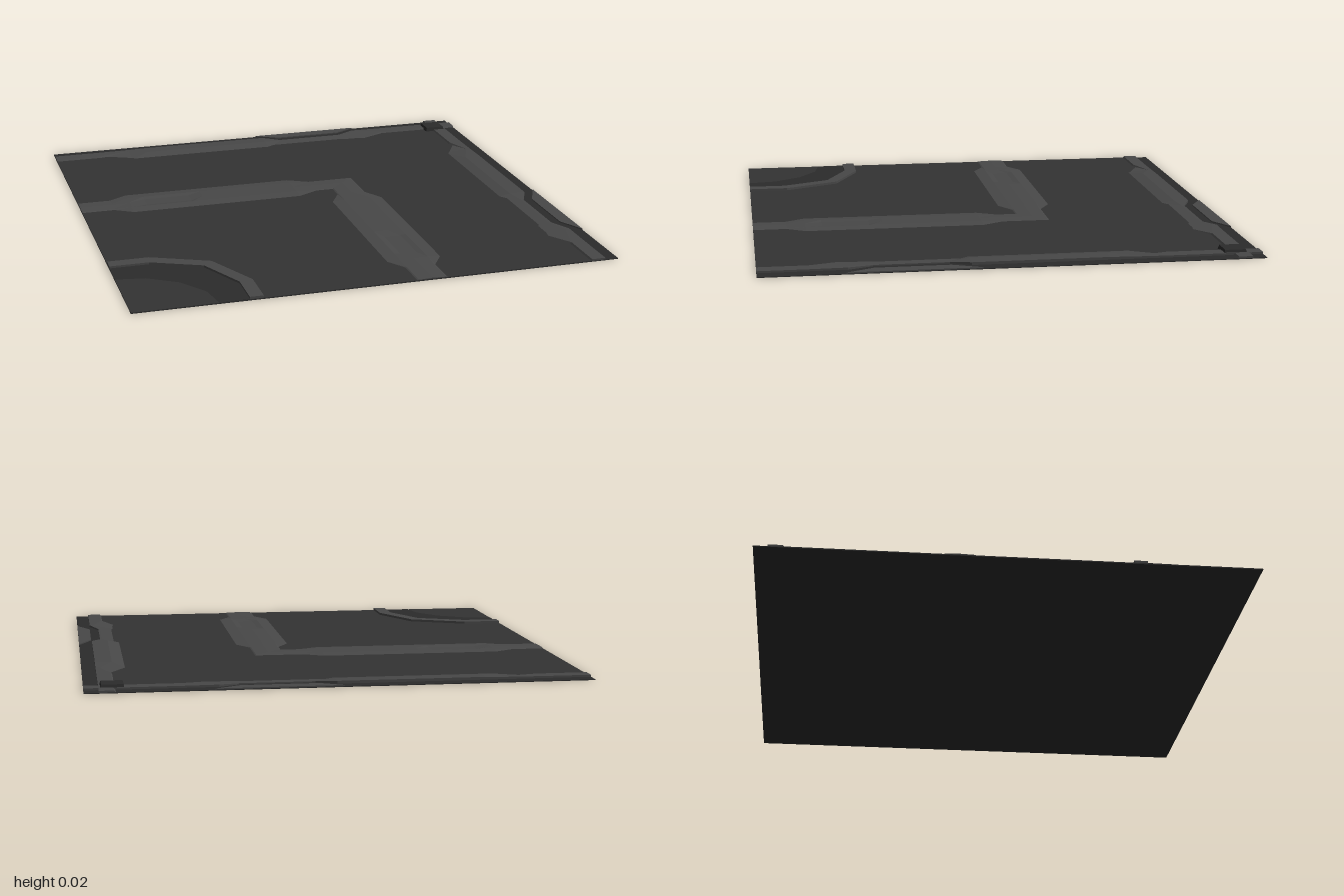
import * as THREE from 'three';

const RECESS = 0.003, FLOOR = 0.005;
const mat = (color) => new THREE.MeshStandardMaterial({ color, flatShading: true, side: THREE.DoubleSide });

// Skin rows of [x, y, z] points with quads; both ends are closed down to the base height
function loft(rows, base) {
  const flat = (r) => r.map(([x, , z]) => [x, base, z]);
  const all = [flat(rows[0]), ...rows, flat(rows[rows.length - 1])];
  const n = rows[0].length, index = [];
  for (let i = 0; i < all.length - 1; i++) {
    for (let j = 0; j < n - 1; j++) {
      const a = i * n + j, c = a + n;
      index.push(a, a + 1, c, a + 1, c + 1, c);
    }
  }
  const g = new THREE.BufferGeometry();
  g.setAttribute('position', new THREE.Float32BufferAttribute(all.flat(2), 3));
  g.setIndex(index);
  const out = g.toNonIndexed();
  out.computeVertexNormals();
  return out;
}

// Flat plate from [x, z] corners between two heights
function plate(points, y0, y1) {
  const shape = new THREE.Shape(points.map(([x, z]) => new THREE.Vector2(x, -z)));
  return new THREE.ExtrudeGeometry(shape, { depth: y1 - y0, bevelEnabled: false })
    .rotateX(-Math.PI / 2).translate(0, y0, 0);
}

export function createModel() {
  const group = new THREE.Group();
  const floorMat = mat(0x333333), trimMat = mat(0x484848), darkMat = mat(0x2b2b2b);
  const add = (name, geometry, material) => {
    const mesh = new THREE.Mesh(geometry, material);
    mesh.name = name;
    group.add(mesh);
  };

  // Thin base showing as the recessed border, and the main floor on it
  add('recessedBase', new THREE.BoxGeometry(2, RECESS, 2).translate(0, RECESS / 2, 0), darkMat);
  add('floor', plate([[-1, -0.9], [0.9, -0.9], [0.9, 1], [-1, 1]], RECESS, FLOOR), floorMat);

  // Edge trims: [along, outer edge, crest, inner edge, height]
  const section = ([s, outer, crest, inner, h]) =>
    [[s, outer, RECESS], [s, outer, h], [s, crest, h], [s, inner, RECESS]];
  const plain = (s) => [s, 0.943, 0.885, 0.878, 0.011];
  const backTrim = [
    plain(-1), plain(-0.79),
    [-0.65, 0.943, 0.925, 0.812, 0.012], [-0.57, 0.943, 0.88, 0.812, 0.014],
    [0.02, 0.943, 0.88, 0.812, 0.014], [0.1, 0.905, 0.895, 0.812, 0.008],
    [0.4, 0.905, 0.895, 0.812, 0.008], [0.48, 0.943, 0.925, 0.812, 0.012],
    plain(0.62), plain(1),
  ];
  const rightTrim = [
    plain(-1), plain(-0.62),
    [-0.5, 0.943, 0.925, 0.812, 0.012], [-0.38, 0.943, 0.873, 0.812, 0.014],
    [0.17, 0.943, 0.873, 0.812, 0.014], [0.25, 0.905, 0.895, 0.812, 0.008],
    [0.55, 0.905, 0.895, 0.812, 0.008], [0.65, 0.943, 0.925, 0.812, 0.012],
    plain(0.8), plain(1),
  ];
  add('backTrim', loft(backTrim.map((t) => section(t).map(([s, d, y]) => [s, y, -d])), RECESS), trimMat);
  add('sideTrim', loft(rightTrim.map((t) => section(t).map(([s, d, y]) => [d, y, s])), RECESS), trimMat);

  // Raised tabs on the border facing the notches
  add('backTab', plate([[0, -1], [0.5, -1], [0.4, -0.945], [0.09, -0.945]], RECESS, 0.008), trimMat);
  add('sideTab', plate([[1, 0.13], [1, 0.66], [0.945, 0.55], [0.945, 0.25]], RECESS, 0.008), trimMat);

  // Tapered block where the trims cross
  const block = new THREE.CylinderGeometry(0.06, 0.068, 0.019, 4).rotateY(Math.PI / 4);
  add('cornerBlock', block.translate(0.89, 0.0125, -0.89), darkMat);

  // Angled ridge: [along, half width, shoulder, centre half width, shoulder y, centre y, mitre]
  const narrow = (u, mitre = 0) => [u, 0.063, 0.058, 0.002, 0.007, 0.009, mitre];
  const wide = (u, c = 0.002, y = 0.01) => [u, 0.113, 0.06, c, 0.0095, y, 0];
  const leg = [
    narrow(-1), narrow(-0.86), wide(-0.78), wide(-0.71, 0.035, 0.006), wide(-0.51, 0.035, 0.006),
    wide(-0.45), wide(-0.1), wide(-0.03), narrow(0.06), narrow(0.2, 1),
  ].map(([u, w, t, c, yt, yc, m]) =>
    [[-w, FLOOR], [-t, yt], [-c, yc], [c, yc], [t, yt], [w, FLOOR]]
      .map(([v, y]) => [u - v * m, y, v - 0.2]));
  add('ridgeAcross', loft(leg, FLOOR), trimMat);
  // Second leg mirrored over the diagonal
  add('ridgeForward', loft(leg.map((r) => r.map(([x, y, z]) => [-z, y, -x])).reverse(), FLOOR), trimMat);

  // Quarter ring in the front corner, with a darker dish inside
  const outer = [[-1, 0.485], [-0.83, 0.485], [-0.595, 0.595], [-0.485, 0.83], [-0.485, 1]];
  const inner = [[-1, 0.54], [-0.84, 0.54], [-0.635, 0.635], [-0.54, 0.84], [-0.54, 1]];
  const dish = [[-1, 0.66], [-0.88, 0.68], [-0.76, 0.76], [-0.68, 0.88], [-0.66, 1]];
  add('cornerRing', loft(outer.map(([x, z], i) => {
    const [a, b] = inner[i];
    return [[x, FLOOR, z], [x, 0.015, z], [a, 0.015, b], [a, FLOOR, b]];
  }), FLOOR), trimMat);
  add('cornerDish', loft(inner.map(([x, z], i) =>
    [[x, 0.0065, z], [dish[i][0], 0.0055, dish[i][1]]]), FLOOR), darkMat);

  return group;
}
